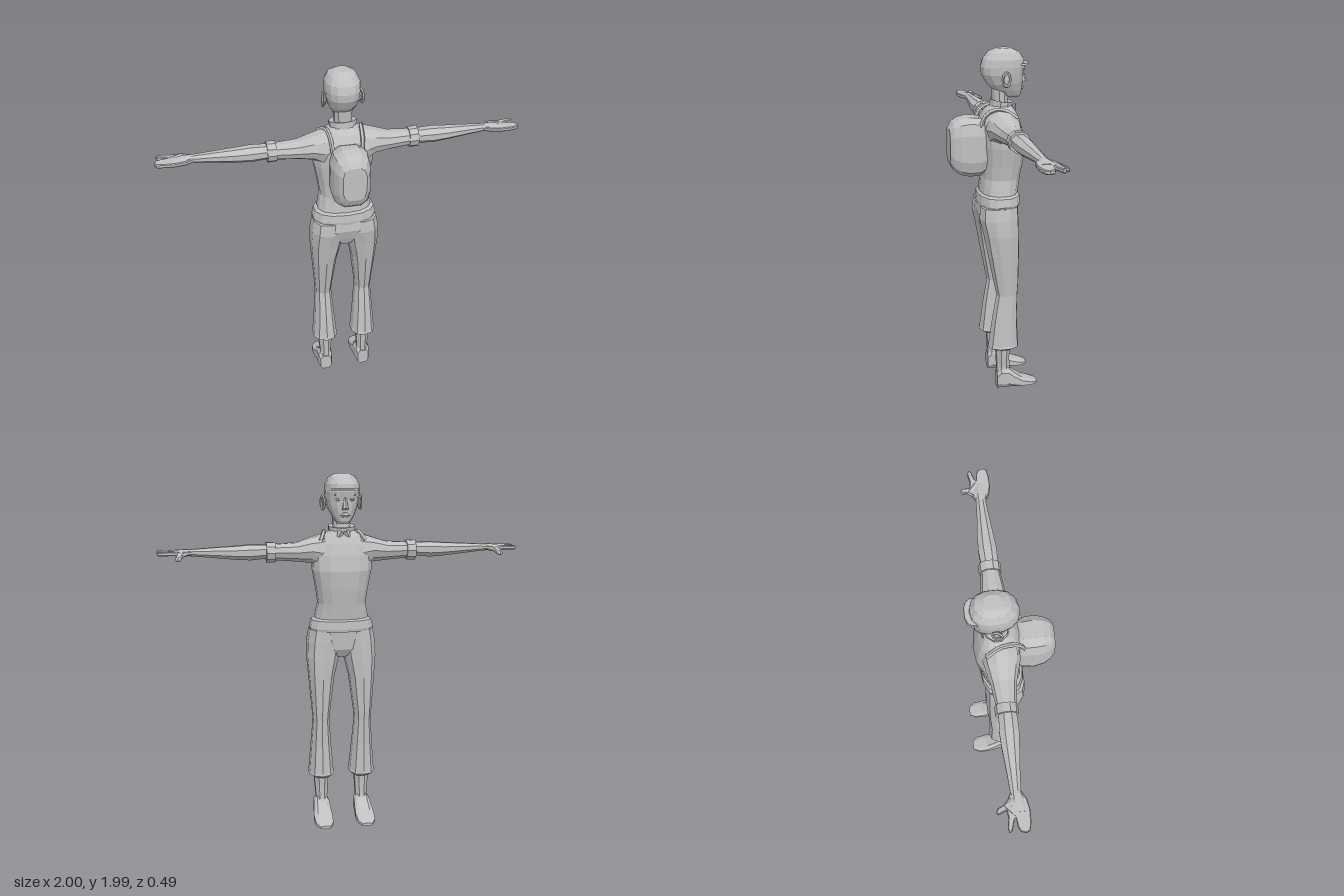
import * as THREE from 'three';

const grey = new THREE.MeshStandardMaterial({ color: 0xc0c0c0 });
grey.name = 'plainGrey';

// Reverse the corner order of every triangle
function flip(geo) {
  const p = geo.attributes.position;
  for (let i = 0; i < p.count; i += 3) {
    const a = new THREE.Vector3().fromBufferAttribute(p, i + 1);
    const b = new THREE.Vector3().fromBufferAttribute(p, i + 2);
    p.setXYZ(i + 1, b.x, b.y, b.z);
    p.setXYZ(i + 2, a.x, a.y, a.z);
  }
}

// Faceted copy, with one normal per face
function facet(geo) {
  const g = geo.index ? geo.toNonIndexed() : geo.clone();
  g.computeVertexNormals();
  return g;
}

// Closed skin over rings [t, aMin, aMax, bMin, bMax] along an axis.
// (a, b) = (x, z) along y, (y, z) along x, (x, y) along z; power < 1 squares the ring.
function loft(axis, rings, n = 10, power = 1) {
  const norm = Math.pow(Math.cos(Math.PI / n), power);
  const soft = v => Math.sign(v) * Math.pow(Math.abs(v), power) / norm;
  const place = (t, a, b) => axis === 'y' ? [a, t, b] : axis === 'x' ? [t, a, b] : [a, b, t];
  const pts = rings.map(([t, a0, a1, b0, b1]) => Array.from({ length: n }, (_, i) => {
    const ang = (i + 0.5) / n * Math.PI * 2;
    return place(t, (a0 + a1) / 2 + (a1 - a0) / 2 * soft(Math.cos(ang)),
      (b0 + b1) / 2 + (b1 - b0) / 2 * soft(Math.sin(ang)));
  }));
  const mid = ([t, a0, a1, b0, b1]) => place(t, (a0 + a1) / 2, (b0 + b1) / 2);
  const first = mid(rings[0]), last = mid(rings[rings.length - 1]), out = [];
  for (let i = 0; i < n; i++) {
    const j = (i + 1) % n;
    for (let r = 0; r + 1 < pts.length; r++) {
      const [p, q] = [pts[r], pts[r + 1]];
      out.push(...p[i], ...p[j], ...q[j], ...p[i], ...q[j], ...q[i]);
    }
    const e = pts[pts.length - 1];
    out.push(...first, ...pts[0][j], ...pts[0][i], ...last, ...e[i], ...e[j]);
  }
  const geo = new THREE.BufferGeometry();
  geo.setAttribute('position', new THREE.Float32BufferAttribute(out, 3));
  // Turn the skin outward if its volume comes out negative
  let vol = 0;
  const v = k => new THREE.Vector3(out[k], out[k + 1], out[k + 2]);
  for (let k = 0; k < out.length; k += 9) vol += v(k).dot(v(k + 3).cross(v(k + 6)));
  if (vol < 0) flip(geo);
  return geo;
}

export function createModel() {
  const model = new THREE.Group();
  model.name = 'figure';
  const add = (name, geo) => {
    const mesh = new THREE.Mesh(facet(geo), grey);
    mesh.name = name;
    model.add(mesh);
  };
  const pair = (name, geo) => {
    add(name + 'Left', geo);
    const m = facet(geo).scale(-1, 1, 1);
    flip(m);
    add(name + 'Right', m);
  };
  const sym = rows => rows.map(([t, r, b0, b1]) => [t, -r, r, b0, b1]);

  // Head and neck
  add('head', loft('y', sym([
    [1.722, 0.03, -0.15, -0.07], [1.735, 0.042, -0.16, -0.04], [1.765, 0.06, -0.164, -0.005],
    [1.80, 0.077, -0.166, 0.03], [1.85, 0.09, -0.168, 0.058], [1.89, 0.093, -0.177, 0.062],
    [1.93, 0.09, -0.172, 0.05], [1.965, 0.072, -0.148, 0.022], [1.985, 0.04, -0.105, -0.02]]), 14, 0.85));
  add('neck', loft('y', sym([[1.64, 0.056, -0.1, 0], [1.71, 0.047, -0.088, -0.002], [1.79, 0.05, -0.095, 0.005]]), 10));

  // Face
  add('nose', loft('y', sym([[1.797, 0.016, -0.175, -0.15], [1.806, 0.015, -0.193, -0.15], [1.86, 0.006, -0.174, -0.15]]), 6));
  add('lips', loft('y', sym([[1.757, 0.016, -0.168, -0.14], [1.768, 0.026, -0.177, -0.14], [1.781, 0.014, -0.17, -0.14]]), 8));
  pair('eye', new THREE.IcosahedronGeometry(1, 1).scale(0.016, 0.009, 0.012).translate(0.036, 1.85, -0.156));
  pair('brow', new THREE.BoxGeometry(0.036, 0.007, 0.014).rotateZ(-0.1).translate(0.038, 1.876, -0.163));
  add('fringe', loft('y', sym([[1.899, 0.074, -0.202, -0.1], [1.907, 0.07, -0.2, -0.1]]), 12, 0.8));

  // Ears: a rim around a flat shell
  pair('earRim', new THREE.TorusGeometry(0.024, 0.007, 5, 10).scale(1, 1.45, 1)
    .rotateY(Math.PI / 2 + 0.3).translate(0.104, 1.83, -0.055));
  pair('earShell', new THREE.SphereGeometry(1, 8, 6).scale(0.01, 0.033, 0.022).translate(0.095, 1.83, -0.055));

  // Shirt with collar and hem
  add('torso', loft('y', sym([
    [1.14, 0.155, -0.13, 0.07], [1.20, 0.148, -0.137, 0.07], [1.28, 0.132, -0.15, 0.06],
    [1.36, 0.143, -0.164, 0.062], [1.465, 0.162, -0.174, 0.068], [1.55, 0.163, -0.16, 0.07],
    [1.61, 0.142, -0.143, 0.062], [1.65, 0.105, -0.125, 0.04], [1.682, 0.066, -0.105, 0.005]]), 14, 0.85));
  add('hem', loft('y', sym([[1.125, 0.172, -0.145, 0.085], [1.14, 0.178, -0.148, 0.088],
    [1.185, 0.167, -0.145, 0.083], [1.195, 0.15, -0.135, 0.07]]), 14, 0.85));
  add('collar', loft('y', sym([[1.655, 0.075, -0.118, 0.012], [1.67, 0.07, -0.11, 0.01],
    [1.705, 0.073, -0.11, 0.012], [1.702, 0.055, -0.096, 0]]), 10).applyMatrix4(
    new THREE.Matrix4().makeTranslation(0, 1.68, -0.05)
      .multiply(new THREE.Matrix4().makeRotationX(-0.15))
      .multiply(new THREE.Matrix4().makeTranslation(0, -1.68, 0.05))));
  pair('collarPoint', new THREE.ConeGeometry(0.022, 0.055, 4).scale(1, 1, 0.5)
    .rotateZ(Math.PI + 0.5).translate(0.026, 1.655, -0.122));

  // Arms
  pair('sleeve', loft('x', [
    [0.06, 1.48, 1.672, -0.12, 0.045], [0.12, 1.475, 1.655, -0.13, 0.055], [0.17, 1.505, 1.64, -0.122, 0.042],
    [0.25, 1.513, 1.615, -0.105, 0.02], [0.37, 1.522, 1.608, -0.092, 0.006]], 10));
  pair('sleeveCuff', loft('x', [[0.365, 1.512, 1.617, -0.1, 0.012], [0.415, 1.51, 1.62, -0.1, 0.012]], 10));
  pair('forearm', loft('x', [
    [0.4, 1.534, 1.606, -0.086, 0.003], [0.5, 1.525, 1.608, -0.093, 0.005], [0.58, 1.53, 1.602, -0.09, -0.002],
    [0.7, 1.542, 1.596, -0.08, -0.014], [0.8, 1.552, 1.59, -0.074, -0.022], [0.85, 1.555, 1.59, -0.082, -0.008],
    [0.9, 1.56, 1.585, -0.068, 0.002]], 8));

  // Hands: flat outline seen from above, drooping slightly at the thumb
  const outline = [[0.8, -0.072], [0.835, -0.09], [0.858, -0.112], [0.868, -0.14], [0.884, -0.15],
    [0.897, -0.142], [0.89, -0.12], [0.885, -0.1], [0.92, -0.095], [0.97, -0.104], [0.99, -0.098],
    [0.985, -0.085], [0.935, -0.07], [0.925, -0.06], [0.965, -0.056], [0.99, -0.045], [0.998, -0.02],
    [0.99, 0], [0.95, 0.008], [0.89, 0.01], [0.84, 0], [0.8, -0.022]];
  const hand = new THREE.ExtrudeGeometry(
    new THREE.Shape(outline.map(([x, z]) => new THREE.Vector2(x, -z))),
    { depth: 0.012, bevelThickness: 0.005, bevelSize: 0.004, bevelOffset: -0.003, bevelSegments: 1 })
    .rotateX(-Math.PI / 2).translate(0, 1.565, 0);
  const hp = hand.attributes.position;
  for (let i = 0; i < hp.count; i++) {
    const droop = Math.max(0, -0.095 - hp.getZ(i)) * (hp.getX(i) < 0.91 ? 0.5 : 0);
    hp.setY(i, hp.getY(i) - droop);
  }
  pair('hand', hand);

  // Trousers
  add('hips', loft('y', sym([[0.975, 0.05, -0.09, 0.05], [1.02, 0.14, -0.118, 0.07],
    [1.08, 0.178, -0.123, 0.09], [1.14, 0.168, -0.128, 0.082]]), 12, 0.8));
  pair('trouserLeg', loft('y', [
    [0.255, 0.068, 0.165, -0.1, 0.018], [0.275, 0.046, 0.192, -0.127, 0.05], [0.29, 0.05, 0.188, -0.125, 0.046],
    [0.45, 0.064, 0.176, -0.117, 0.025], [0.6, 0.075, 0.166, -0.12, 0], [0.66, 0.07, 0.17, -0.124, 0.012],
    [0.85, 0.046, 0.185, -0.127, 0.048], [0.97, 0.018, 0.194, -0.126, 0.07], [1.06, 0.003, 0.19, -0.125, 0.09],
    [1.13, 0.01, 0.178, -0.122, 0.084]], 10, 0.85));

  // Lower legs and feet
  pair('ankle', loft('y', [[0.08, 0.08, 0.158, -0.085, 0], [0.13, 0.085, 0.15, -0.076, 0],
    [0.2, 0.081, 0.156, -0.073, 0.003], [0.28, 0.075, 0.162, -0.08, 0.008]], 8));
  pair('foot', loft('z', [
    [0.002, 0.087, 0.155, 0, 0.1], [-0.02, 0.078, 0.163, 0, 0.13], [-0.065, 0.074, 0.165, 0, 0.128],
    [-0.1, 0.071, 0.17, 0, 0.092], [-0.15, 0.068, 0.176, 0, 0.055], [-0.205, 0.072, 0.172, 0, 0.034],
    [-0.242, 0.092, 0.15, 0.003, 0.02]], 8, 0.65));

  // Backpack and shoulder straps
  add('backpack', loft('z', [
    [0.04, -0.09, 0.09, 1.32, 1.6], [0.08, -0.103, 0.103, 1.297, 1.618], [0.14, -0.107, 0.107, 1.295, 1.625],
    [0.19, -0.098, 0.098, 1.308, 1.615], [0.225, -0.082, 0.082, 1.335, 1.595],
    [0.245, -0.064, 0.064, 1.375, 1.565]], 12, 0.6));
  const strap = new THREE.CatmullRomCurve3([[0.08, 1.575, 0.08], [0.085, 1.635, 0.06], [0.09, 1.668, 0.01],
    [0.1, 1.665, -0.05], [0.125, 1.625, -0.115]].map(p => new THREE.Vector3(...p)));
  pair('strap', new THREE.TubeGeometry(strap, 8, 0.012, 5));

  return model;
}
